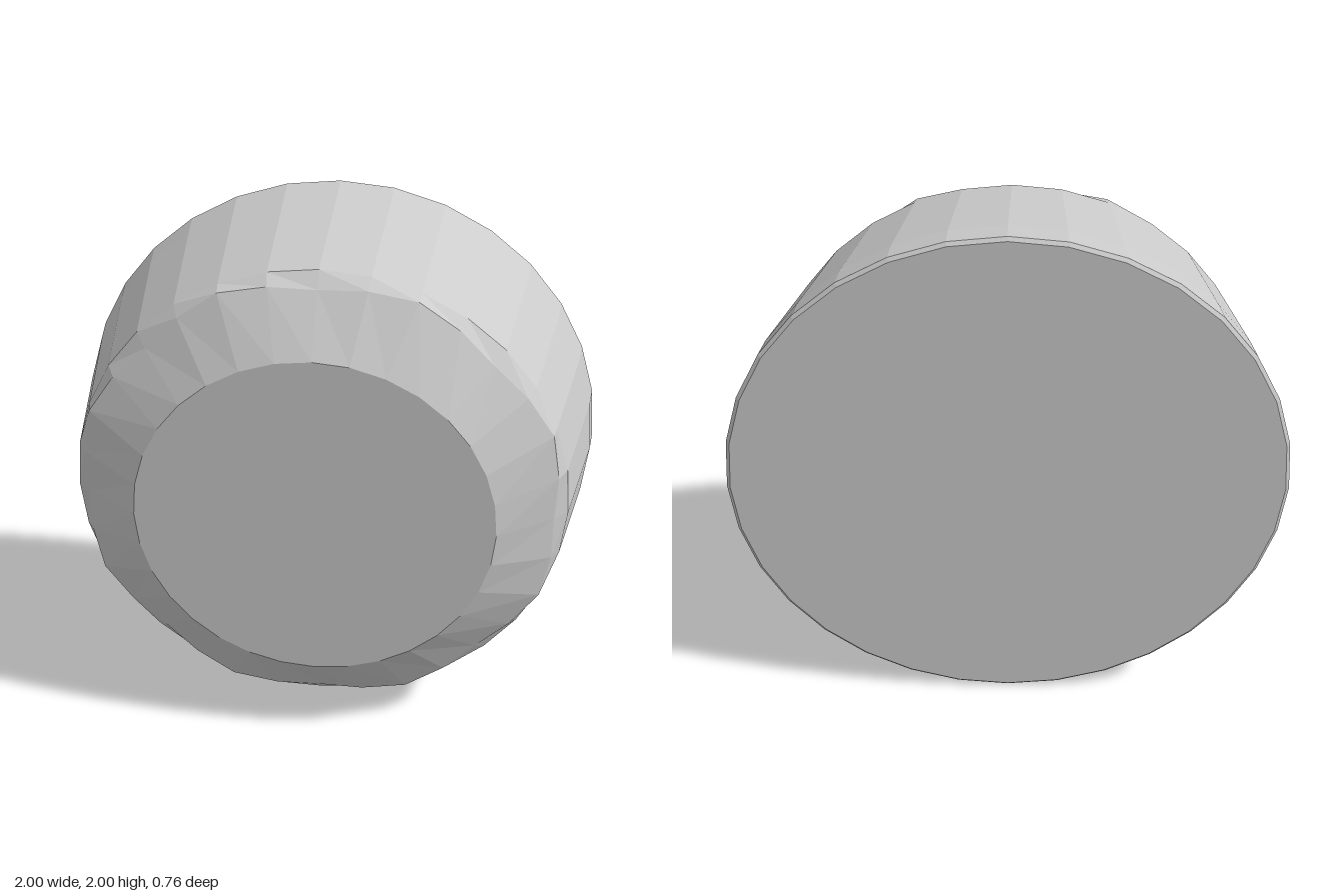
import * as THREE from 'three';

// Turned profile: radius, depth (back to front), sideways drift of the ring
const RINGS = [
  [0, -0.38, 0],
  [0.985, -0.38, 0],
  [0.998, -0.37, 0],
  [0.985, -0.27, 0],
  [0.897, 0.2, -0.012],
  [0.865, 0.25, -0.012],
  [0.646, 0.384, -0.016],
  [0, 0.384, -0.016],
];
const BEVEL = 5;
const SEGMENTS = 32;

function createBody() {
  const profile = RINGS.map(([r, z]) => new THREE.Vector2(r, z));
  const geometry = new THREE.LatheGeometry(profile, SEGMENTS);
  geometry.rotateX(Math.PI / 2);

  // Flatten the bevel edge into eight soft facets and drift the front rings
  const pos = geometry.attributes.position;
  for (let i = 0; i < pos.count; i++) {
    const ring = i % RINGS.length;
    let x = pos.getX(i);
    let y = pos.getY(i);
    if (ring === BEVEL) {
      const k = 1 - 0.023 * Math.cos(8 * Math.atan2(y, x));
      x *= k;
      y *= k;
    }
    pos.setXY(i, x + RINGS[ring][2], y);
  }
  geometry.computeVertexNormals();

  const material = new THREE.MeshStandardMaterial({ color: 0xcccccc, flatShading: true });
  const body = new THREE.Mesh(geometry, material);
  body.name = 'taperedRoundBody';
  body.position.y = 1;
  return body;
}

export function createModel() {
  const model = new THREE.Group();
  model.name = 'roundKnob';
  model.add(createBody());
  return model;
}
